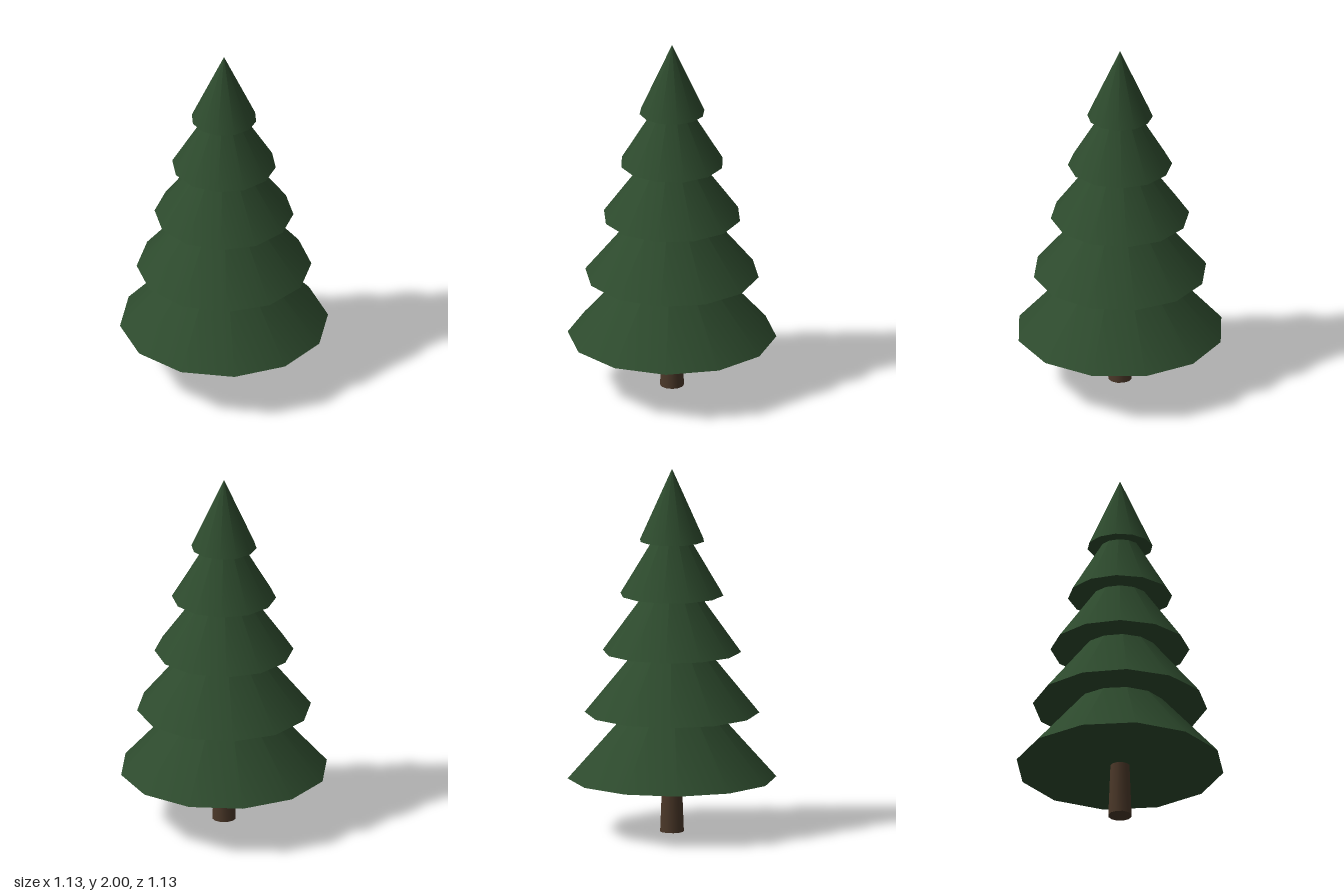
import * as THREE from 'three';

export function createModel() {
  const group = new THREE.Group();
  group.name = 'pineTree';
  const needles = new THREE.MeshStandardMaterial({ color: 0x2d4a2d });
  needles.name = 'needle green';
  const bark = new THREE.MeshStandardMaterial({ color: 0x4a3728 });
  bark.name = 'bark brown';

  // Tapered trunk, running up into the lowest tier
  const trunk = new THREE.Mesh(new THREE.CylinderGeometry(0.05, 0.065, 0.38, 12), bark);
  trunk.name = 'trunk';
  trunk.position.y = 0.19;
  group.add(trunk);

  // Overlapping cone tiers, each turned a little further: [base y, radius, height]
  const tiers = [
    [0.297, 0.567, 0.635],
    [0.657, 0.474, 0.58],
    [0.995, 0.377, 0.52],
    [1.308, 0.283, 0.472],
    [1.605, 0.178, 0.395],
  ];
  tiers.forEach(([y, radius, height], i) => {
    const tier = new THREE.Mesh(new THREE.ConeGeometry(radius, height, 12), needles);
    tier.name = `foliageTier${i + 1}`;
    tier.position.y = y + height / 2;
    tier.rotation.y = -0.075 * (i + 1);
    group.add(tier);
  });
  return group;
}
